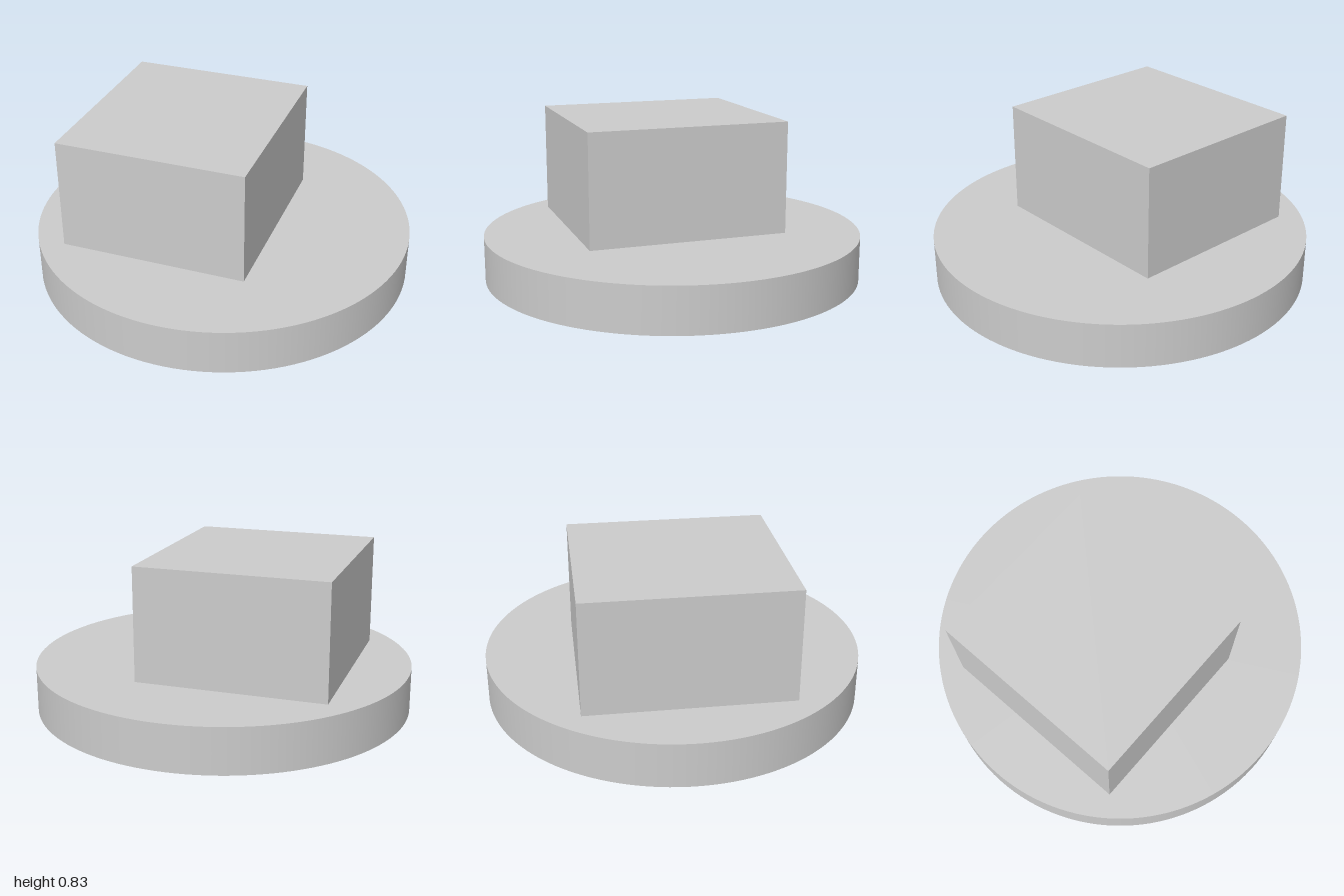
import * as THREE from 'three';

const BASE_HEIGHT = 0.237;
const TOP = 0.832;

export function createModel() {
  const group = new THREE.Group();
  const material = new THREE.MeshStandardMaterial({ color: 0xcccccc });

  const addPart = (name, geometry, x, y, z) => {
    const mesh = new THREE.Mesh(geometry, material);
    mesh.name = name;
    mesh.position.set(x, y, z);
    group.add(mesh);
  };

  // Round base disc
  addPart('baseDisc', new THREE.CylinderGeometry(1, 1, BASE_HEIGHT, 128), 0, BASE_HEIGHT / 2, 0);

  // Rectangular block, set off-centre towards the model's right
  const blockHeight = TOP - BASE_HEIGHT;
  addPart('block', new THREE.BoxGeometry(0.99, blockHeight, 1.065), -0.2, BASE_HEIGHT + blockHeight / 2, 0);

  return group;
}
